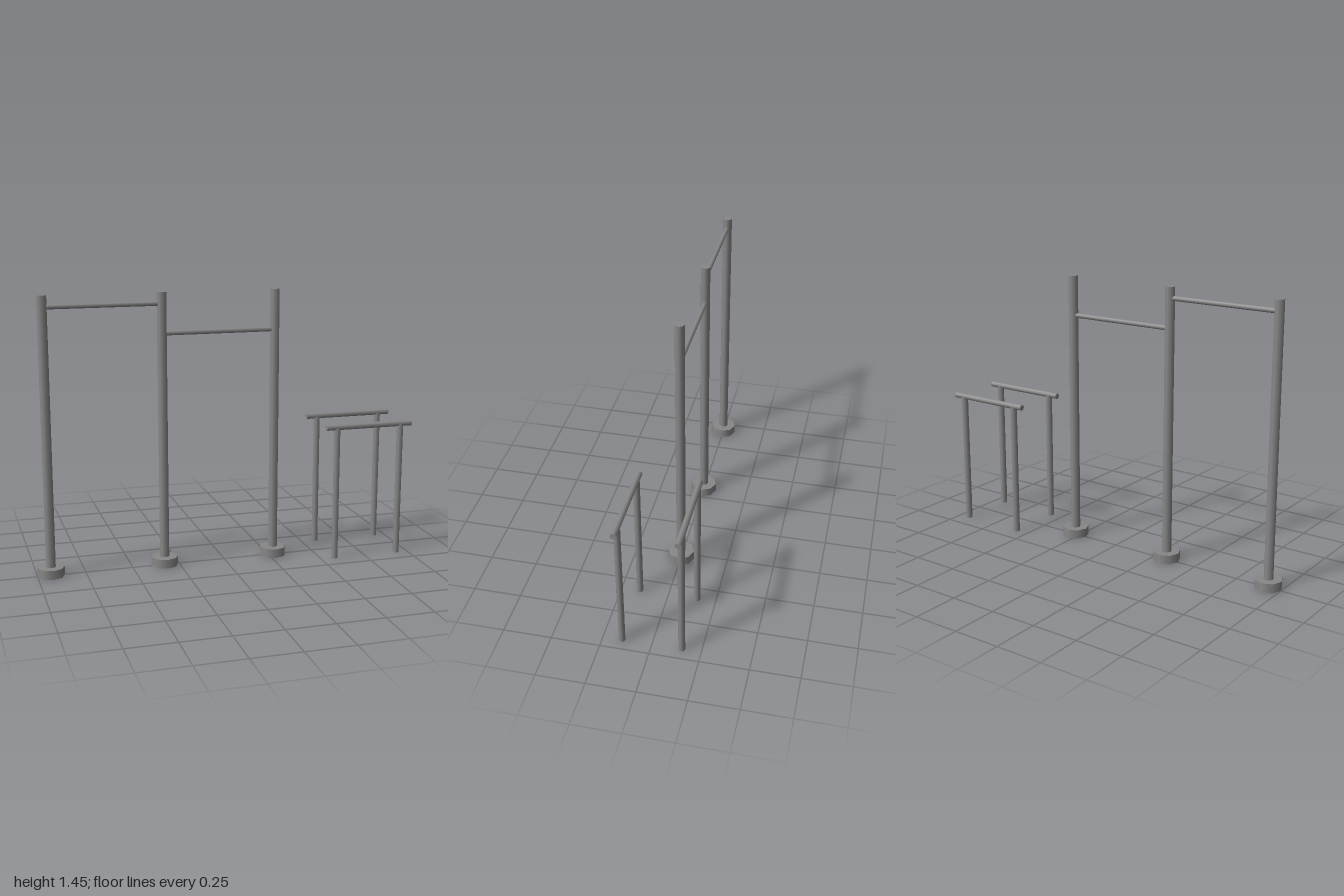
import * as THREE from 'three';

export function createModel() {
  const group = new THREE.Group();
  const steel = new THREE.MeshStandardMaterial({ color: 0x888888 });
  steel.name = 'grey steel';

  // Upright cylinder between two heights
  function upright(name, radius, x, z, y0, y1) {
    const mesh = new THREE.Mesh(new THREE.CylinderGeometry(radius, radius, y1 - y0, 8), steel);
    mesh.name = name;
    mesh.position.set(x, (y0 + y1) / 2, z);
    group.add(mesh);
  }

  // Horizontal bar along x
  function rail(name, radius, x0, x1, y, z) {
    const geometry = new THREE.CylinderGeometry(radius, radius, x1 - x0, 8).rotateZ(Math.PI / 2);
    const mesh = new THREE.Mesh(geometry, steel);
    mesh.name = name;
    mesh.position.set((x0 + x1) / 2, y, z);
    group.add(mesh);
  }

  // Tall posts on octagonal footings
  const postX = [-0.93, -0.328, 0.275];
  for (const x of postX) {
    upright('footing', 0.071, x, 0, 0, 0.048);
    upright('tallPost', 0.025, x, 0, 0.04, 1.446);
  }

  // Pull-up bars at two heights
  rail('highPullUpBar', 0.0125, postX[0], postX[1], 1.388, 0);
  rail('lowPullUpBar', 0.0125, postX[1], postX[2], 1.236, 0);

  // Pair of parallel dip bars
  for (const z of [-0.152, 0.152]) {
    rail('dipBar', 0.016, 0.517, 1.0, 0.723, z);
    for (const x of [0.577, 0.937]) upright('dipBarPost', 0.0175, x, z, 0, 0.723);
  }

  return group;
}
